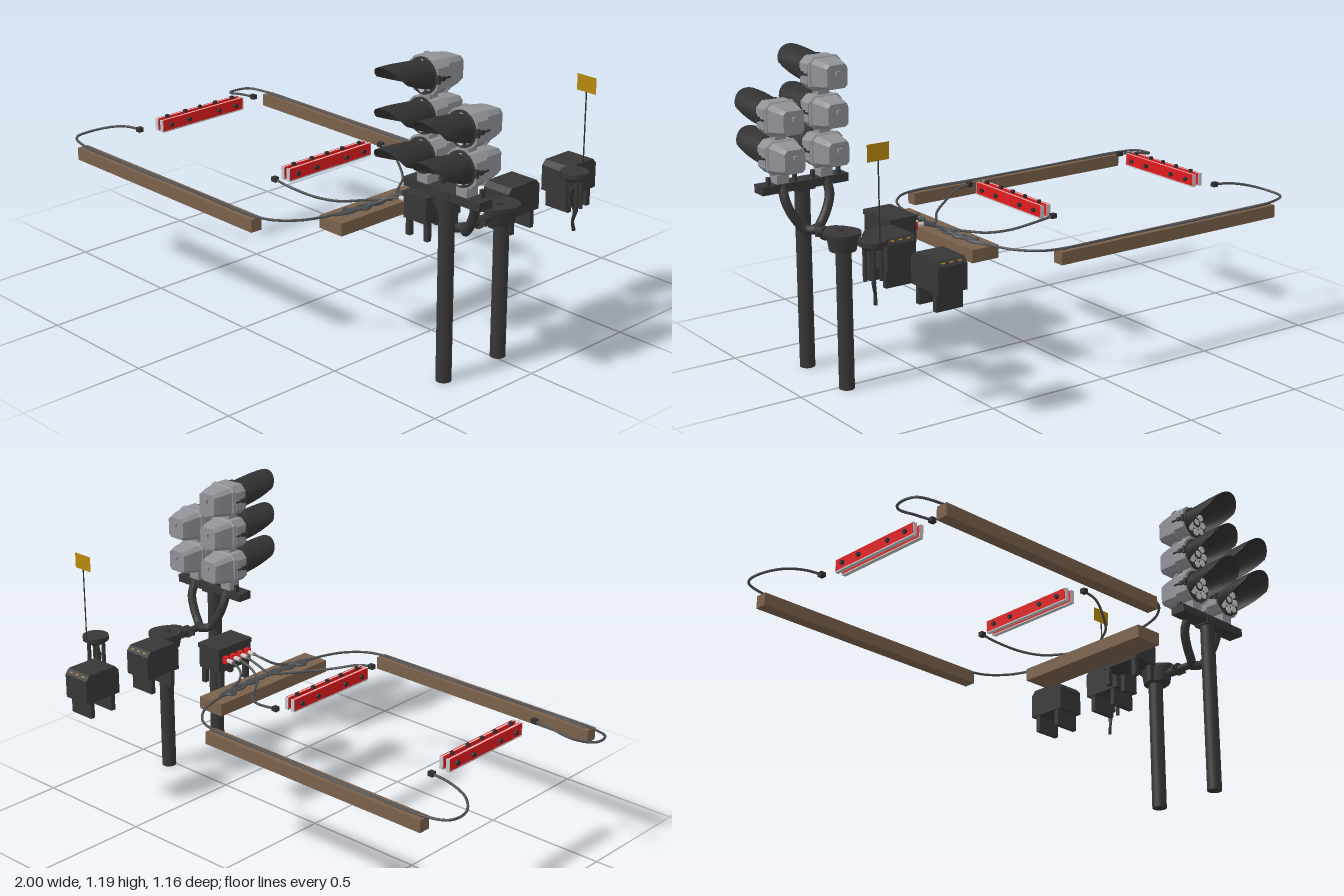
import * as THREE from 'three';

const mat = (name, color, opts = {}) => {
  const m = new THREE.MeshStandardMaterial({ color, ...opts });
  m.name = name;
  return m;
};

export function createModel() {
  const root = new THREE.Group();
  root.name = 'railwaySignalEquipment';
  const dark = mat('darkMetal', 0x373738);
  const black = mat('hoodBlack', 0x313132, { side: THREE.DoubleSide });
  const cableMat = mat('cableGrey', 0x4d4f52);
  const grey = mat('housingGrey', 0x909297);
  const light = mat('lightGrey', 0xc8c8c8);
  const red = mat('red', 0xe01c1e);
  const wood = mat('wood', 0x7a614b);
  const yellow = mat('yellow', 0xb8880c, { side: THREE.DoubleSide });

  const add = (name, geo, m, x = 0, y = 0, z = 0, parent = root) => {
    const mesh = new THREE.Mesh(geo, m);
    mesh.name = name;
    mesh.position.set(x, y, z);
    parent.add(mesh);
    return mesh;
  };
  const group = (name, x = 0, y = 0, z = 0) => {
    const g = new THREE.Group();
    g.name = name;
    g.position.set(x, y, z);
    root.add(g);
    return g;
  };
  const box = (w, h, d) => new THREE.BoxGeometry(w, h, d);
  const cyl = (r, h, n = 18, r2 = r) => new THREE.CylinderGeometry(r, r2, h, n);
  const cylZ = (r, h, n = 16) => cyl(r, h, n).rotateX(Math.PI / 2);
  const tube = (name, pts, r, m = cableMat, parent = root, sides = 7) =>
    add(name, new THREE.TubeGeometry(
      new THREE.CatmullRomCurve3(pts.map(p => new THREE.Vector3(...p))), pts.length * 7, r, sides), m, 0, 0, 0, parent);

  // Chamfered rectangular sections [halfWidth, halfHeight, chamfer, z] joined along z
  const loft = sections => {
    const pos = [], idx = [], n = 8, last = (sections.length - 1) * n;
    for (const [w, h, c, z] of sections)
      for (const [x, y] of [[w, c - h], [w, h - c], [w - c, h], [c - w, h], [-w, h - c], [-w, c - h], [c - w, -h], [w - c, -h]])
        pos.push(x, y, z);
    for (let i = 0; i < last; i += n)
      for (let k = 0; k < n; k++) {
        const a = i + k, b = i + (k + 1) % n;
        idx.push(a, b, b + n, a, b + n, a + n);
      }
    for (let k = 1; k < n - 1; k++) idx.push(0, k + 1, k, last, last + k, last + k + 1);
    let g = new THREE.BufferGeometry();
    g.setAttribute('position', new THREE.Float32BufferAttribute(pos, 3));
    g.setIndex(idx);
    g = g.toNonIndexed();
    g.computeVertexNormals();
    return g;
  };

  // Flared visor, cut away underneath
  const hoodGeometry = () => {
    const g = new THREE.CylinderGeometry(1, 1, 1, 32, 6, true);
    const p = g.attributes.position;
    for (let i = 0; i < p.count; i++) {
      const len = Math.hypot(p.getX(i), p.getZ(i));
      const s = p.getX(i) / len, c = p.getZ(i) / len, t = p.getY(i) + 0.5;
      const y = 0.068 * c;
      const rim = y < 0.015 ? 0.155 * (y + 0.048) / 0.063 : 0.155 + 0.04 * (y - 0.015) / 0.053;
      const z = t * Math.max(0.004, rim);
      const flare = 0.012 * Math.min(1, z / 0.14);
      p.setXYZ(i, -(0.062 + flare) * s, (0.056 + flare) * c, z);
    }
    g.computeVertexNormals();
    return g;
  };
  const hood = hoodGeometry();
  const housing = loft([[0.042, 0.044, 0.012, -0.153], [0.05, 0.05, 0.014, -0.13], [0.06, 0.058, 0.016, -0.07],
    [0.066, 0.063, 0.018, -0.066], [0.066, 0.063, 0.018, -0.055]]);
  const frontCase = loft([[0.068, 0.061, 0.024, -0.054], [0.068, 0.061, 0.024, 0]]);

  // Signal heads: three in one column, two in the other
  for (const [x, count] of [[0.725, 3], [0.91, 2]]) {
    for (let i = 0; i < count; i++) {
      const s = group('signalHead', x, 0.837 + i * 0.144, 0.298);
      add('rearHousing', housing, grey, 0, 0, 0, s);
      add('frontCase', frontCase, grey, 0, 0, 0, s);
      add('rearKnob', box(0.015, 0.015, 0.012), grey, 0, 0.015, -0.157, s);
      add('bezel', cylZ(0.066, 0.008, 28), dark, 0, 0, 0.002, s);
      add('visor', hood, black, 0, 0, 0, s);
      for (let k = 0; k < 8; k++) {
        const a = k * Math.PI / 4;
        add('lensPetal', cylZ(0.0145, 0.006, 10), light, 0.044 * Math.cos(a), 0.044 * Math.sin(a), 0.007, s);
      }
      add('lensRing', cylZ(0.029, 0.006, 16), light, 0, 0, 0.008, s);
      add('lensGap', cylZ(0.023, 0.004, 8), dark, 0, 0, 0.011, s);
      add('lensCentre', cylZ(0.014, 0.004, 8), light, 0, 0, 0.013, s);
      for (const side of [-1, 1]) {
        add('latchRod', cylZ(0.004, 0.06, 8), black, side * 0.073, 0, -0.026, s);
        add('latch', box(0.012, 0.014, 0.018), black, side * 0.072, 0, -0.02, s);
        add('cornerClamp', box(0.018, 0.03, 0.01), dark, side * 0.067, 0, -0.002, s);
      }
      add('spacer', box(0.045, 0.024, 0.042), grey, 0, -0.071, -0.03, s);
    }
    add('columnFoot', box(0.05, 0.034, 0.056), grey, x, 0.751, 0.267);
    for (const side of [-1, 1]) add('footBrace', box(0.012, 0.03, 0.016), dark, x + side * 0.055, 0.75, 0.25);
    // Conduits branching upward to each column
    const d = x < 0.817 ? -1 : 1;
    tube('conduit', [[0.817, 0.56, 0.17], [0.817 + d * 0.03, 0.562, 0.2], [0.817 + d * 0.068, 0.61, 0.213],
      [x, 0.67, 0.225], [x, 0.73, 0.25]], 0.018, dark, root, 12);
  }
  add('signalPlatform', box(0.36, 0.032, 0.065), dark, 0.817, 0.719, 0.266);
  add('platformClamp', box(0.075, 0.036, 0.07), dark, 0.817, 0.716, 0.266);
  add('mainPole', cyl(0.029, 0.72), dark, 0.817, 0.36, 0.266);

  // Junction post with egg-shaped head
  add('junctionPole', cyl(0.029, 0.54), dark, 0.817, 0.27, -0.02);
  const egg = (r, h, r2) => {
    const g = new THREE.CylinderGeometry(r, r2, h, 28);
    const p = g.attributes.position;
    for (let i = 0; i < p.count; i++) {
      const z = p.getZ(i);
      p.setXYZ(i, p.getX(i) * (1 - Math.max(0, z) * 4), p.getY(i), z * (z > 0 ? 1.35 : 1));
    }
    g.computeVertexNormals();
    return g;
  };
  add('junctionHead', egg(0.06, 0.06, 0.05), dark, 0.817, 0.56, -0.016);
  add('junctionLid', egg(0.067, 0.014, 0.067), dark, 0.817, 0.593, -0.02);
  add('lidBolt', cyl(0.012, 0.006, 10), black, 0.817, 0.601, -0.005);
  add('horizontalConduit', cylZ(0.015, 0.15), dark, 0.817, 0.562, 0.115);
  add('conduitFlange', cylZ(0.026, 0.012), dark, 0.817, 0.563, 0.105);
  add('flangeBar', box(0.08, 0.014, 0.01), dark, 0.817, 0.563, 0.105);
  add('conduitCollar', cylZ(0.019, 0.03), dark, 0.817, 0.562, 0.08);

  // Two relay cabinets with bevelled lids and plate legs
  for (const z of [-0.177, -0.497]) {
    const c = group('relayCabinet', 0.722, 0, z);
    const prof = new THREE.Shape([[-0.084, 0.503], [0.084, 0.503], [0.084, 0.6], [0.066, 0.62], [-0.066, 0.62], [-0.084, 0.6]]
      .map(p => new THREE.Vector2(...p)));
    const body = new THREE.ExtrudeGeometry(prof, { depth: 0.12, bevelEnabled: false }).translate(0, 0, -0.06).rotateY(-Math.PI / 2);
    add('cabinetBody', body, dark, 0, 0, 0, c);
    for (const s of [-1, 1]) add('plateLeg', box(0.11, 0.07, 0.02), dark, 0, 0.47, s * 0.053, c);
    // Labels on the rear bevel of the lid
    for (const x of [-0.034, 0, 0.034])
      add('lidLabel', box(0.014, 0.002, 0.005), yellow, x, 0.6105, -0.0755, c).rotation.x = -0.838;
  }

  // Connection box with red plugs
  const cb = group('connectionBox', 0.56, 0, 0.07);
  add('boxBody', box(0.112, 0.095, 0.18), dark, 0, 0.552, 0, cb);
  add('boxLid', box(0.12, 0.019, 0.186), dark, 0, 0.598, 0, cb);
  for (const x of [-0.045, 0.045])
    for (const z of [-0.07, 0.07]) add('boxLeg', box(0.02, 0.07, 0.02), dark, x, 0.47, z, cb);
  for (const z of [0.01, 0.05, 0.09, 0.13]) {
    add('redPlug', box(0.02, 0.028, 0.022), red, 0.494, 0.557, z);
    add('plugCollar', cyl(0.009, 0.03, 10).rotateZ(Math.PI / 2), light, 0.47, 0.557, z);
  }

  // Timber beams
  add('crossBoard', box(0.117, 0.05, 0.6), wood, 0.34, 0.48, 0.07);
  const mz = (z, side) => side > 0 ? z : 0.14 - z;
  for (const side of [1, -1]) {
    add('sideBeam', box(1.05, 0.05, 0.048), wood, -0.375, 0.48, mz(-0.419, side));
    const run = (name, pts, r = 0.005) => tube(name, pts.map(([x, y, z]) => [x, y, mz(z, side)]), r);
    // Long cable along the beam to the far plug
    run('longCable', [[-0.77, 0.563, -0.23], [-0.85, 0.555, -0.23], [-0.94, 0.535, -0.248], [-0.993, 0.518, -0.31],
      [-0.985, 0.514, -0.385], [-0.9, 0.51, -0.417], [-0.6, 0.508, -0.42], [-0.2, 0.508, -0.417], [0.12, 0.51, -0.419],
      [0.21, 0.51, -0.395], [0.28, 0.51, -0.325], [0.315, 0.51, -0.24], [0.33, 0.51, -0.17], [0.355, 0.512, -0.09],
      [0.375, 0.525, -0.03], [0.41, 0.545, 0.0], [0.46, 0.557, 0.01]]);
    run('beamCable', [[-0.88, 0.507, -0.412], [-0.5, 0.507, -0.425], [-0.1, 0.507, -0.412], [0.14, 0.507, -0.422]], 0.004);
    // Short cable to the near plug
    run('shortCable', [[0.013, 0.563, -0.205], [0.08, 0.552, -0.2], [0.17, 0.525, -0.155], [0.24, 0.512, -0.1],
      [0.29, 0.51, -0.03], [0.345, 0.515, 0.035], [0.4, 0.54, 0.05], [0.46, 0.557, 0.05]]);
    // Slack coils on the board
    for (let k = 0; k < 3; k++)
      run('slackCable', [[0.325 + k * 0.008, 0.508, -0.2 + k * 0.02], [0.35 - k * 0.02, 0.509, -0.13],
        [0.325 + k * 0.02, 0.509, -0.07], [0.36 - k * 0.014, 0.509, 0.0], [0.335 + k * 0.012, 0.508, 0.066]], 0.007);
    for (const [x, z] of [[-0.772, -0.23], [0.013, -0.205]])
      add('cablePlug', box(0.022, 0.018, 0.02), black, x, 0.563, mz(z, side));
  }

  // Paired rail sections: light core faced with red, joined by black clamps
  for (const x of [-0.758, 0]) {
    const r = group('redRail', x, 0, 0.07);
    for (const s of [-1, 1]) {
      add('railCore', box(0.007, 0.048, 0.42), light, s * 0.0155, 0.563, 0, r);
      for (const o of [0.01, 0.021]) add('redFace', box(0.004, 0.046, 0.418), red, s * o, 0.564, 0, r);
      add('bottomLip', box(0.016, 0.005, 0.418), light, s * 0.016, 0.539, 0, r);
      for (const e of [-1, 1]) add('railEnd', box(0.016, 0.05, 0.003), light, s * 0.015, 0.563, e * 0.211, r);
      for (const z of [-0.17, -0.08, 0.077, 0.17])
        add('clampBolt', cyl(0.009, 0.01, 10).rotateZ(Math.PI / 2), black, s * 0.027, 0.563, z, r);
    }
    for (const z of [-0.17, -0.08, 0, 0.077, 0.17]) {
      add('clampBar', box(0.04, 0.012, 0.014), black, 0, 0.563, z, r);
      add('clampTop', box(0.012, 0.012, 0.012), black, 0, 0.593, z, r);
    }
  }

  // Round pedestal with hanging cables and flag
  const ped = group('roundPedestal', 0.885, 0, -0.332);
  add('pedestalTop', cyl(0.052, 0.018, 24), dark, 0, 0.651, 0, ped);
  add('pedestalFlange', cyl(0.046, 0.014, 24, 0.034), dark, 0, 0.635, 0, ped);
  for (let k = 0; k < 4; k++) {
    const a = k * Math.PI / 2 + 0.5;
    add('pedestalPost', cyl(0.008, 0.125, 8), dark, 0.029 * Math.cos(a), 0.573, 0.029 * Math.sin(a), ped);
    if (k < 2)
      tube('hangingCable', [[k * 0.012, 0.63, 0.01 - k * 0.02], [-0.004, 0.57, k * 0.015], [0.004, 0.5, -0.012 + k * 0.008],
        [-0.003, 0.46, -0.004], [0, 0.424, -0.008 - k * 0.004]], 0.006, black, ped);
  }
  add('flagRod', cyl(0.0025, 0.31, 6), black, 0, 0.795, -0.047, ped);
  add('flag', new THREE.PlaneGeometry(0.088, 0.062), yellow, 0, 0.98, -0.047, ped);
  return root;
}
